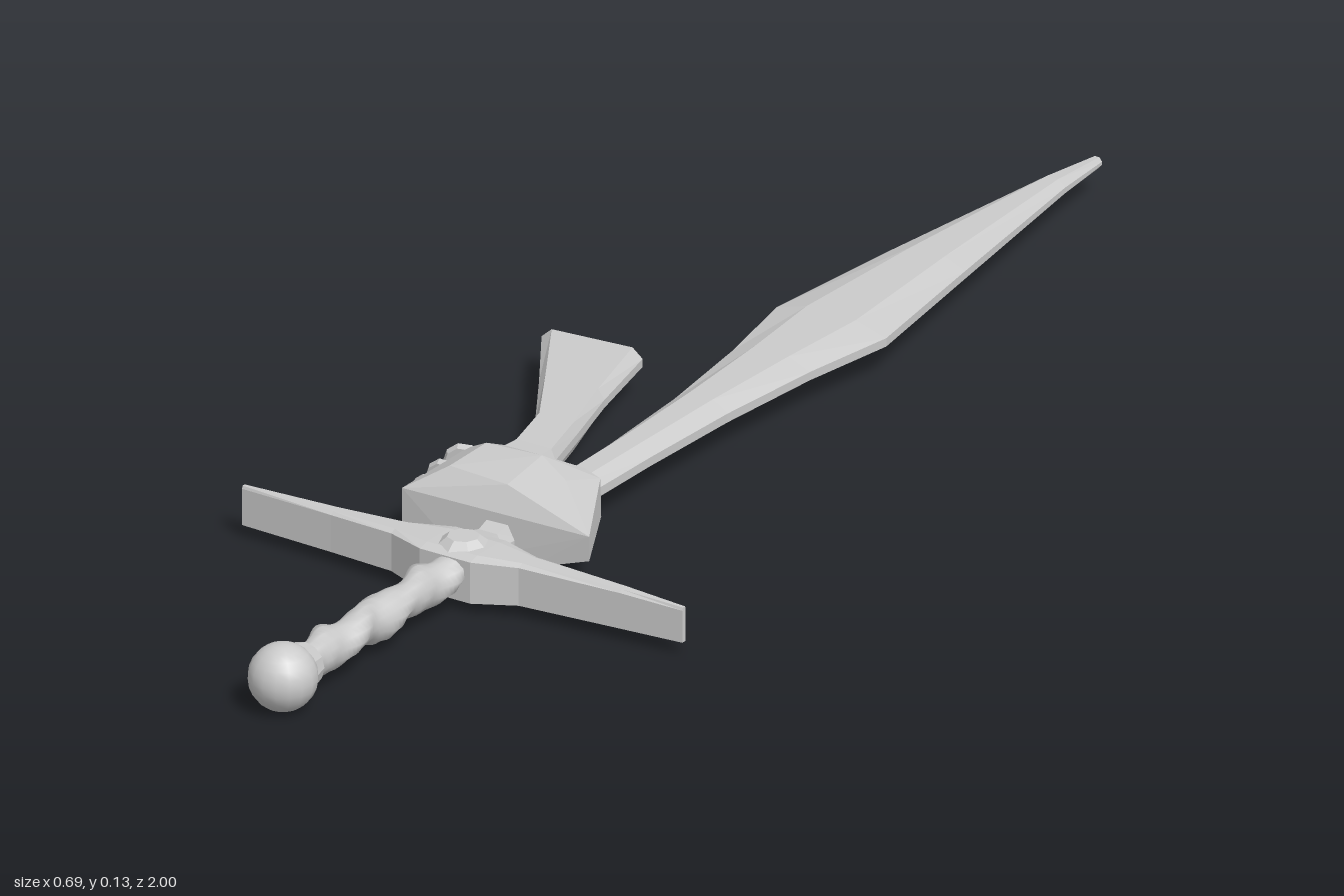
import * as THREE from 'three';
import { ConvexGeometry } from 'three/addons/geometries/ConvexGeometry.js';

const flat = new THREE.MeshStandardMaterial({ color: 0xcccccc, flatShading: true });
const smooth = new THREE.MeshStandardMaterial({ color: 0xcccccc });

// Skin a row of rings (arrays of [x, y, z], counter-clockwise about the travel direction) and cap both ends
function loft(rings) {
  const n = rings[0].length, pos = [], idx = [];
  rings.forEach(r => r.forEach(p => pos.push(...p)));
  for (let i = 0; i < rings.length - 1; i++) {
    for (let j = 0; j < n; j++) {
      const k = (j + 1) % n, a = i * n, b = a + n;
      idx.push(a + j, a + k, b + k, a + j, b + k, b + j);
    }
  }
  const end = (rings.length - 1) * n;
  for (let j = 1; j < n - 1; j++) idx.push(0, j + 1, j, end, end + j, end + j + 1);
  const g = new THREE.BufferGeometry();
  g.setAttribute('position', new THREE.Float32BufferAttribute(pos, 3));
  g.setIndex(idx);
  g.computeVertexNormals();
  return g;
}

// Flattened octagon between x0 and x1, y0 and y1; bevel is the share of the edge cut away
function slab(z0, x0, x1, y0, y1, bevel, z1 = z0) {
  const cx = (x0 + x1) / 2, cy = (y0 + y1) / 2, w = (x1 - x0) / 2, h = (y1 - y0) / 2;
  const a = 1 - bevel, b = 0.3;
  return [[1, -b], [1, b], [a, 1], [-a, 1], [-1, b], [-1, -b], [-a, -1], [a, -1]]
    .map(([u, v]) => [cx + u * w, cy + v * h, z0 + (z1 - z0) * (u + 1) / 2]);
}

export function createModel() {
  const group = new THREE.Group();
  const add = (name, geo, mat = flat) => {
    const m = new THREE.Mesh(geo, mat);
    m.name = name;
    group.add(m);
    return m;
  };

  // Leaf-shaped blade: z, left x, right x, bottom y, top y
  add('blade', loft([
    [-1, -0.044, -0.028, 0.040, 0.055],
    [-0.9, -0.058, -0.018, 0.035, 0.062],
    [-0.6, -0.090, 0.028, 0.032, 0.069],
    [-0.365, -0.110, 0.064, 0.031, 0.071],
    [-0.22, -0.080, 0.042, 0.031, 0.071],
    [-0.05, -0.056, 0.028, 0.030, 0.072],
    [0.12, -0.044, 0.023, 0.030, 0.072],
    [0.32, -0.040, 0.022, 0.030, 0.072]
  ].map(([z, l, r, b, t]) => slab(z, l, r, b, t, 0.55))));

  // Flared streamer beside the blade
  add('streamer', loft([
    [-0.12, -0.315, -0.165, 0.030, 0.068, -0.135],
    [0.0, -0.237, -0.133, 0.030, 0.068, 0.0],
    [0.11, -0.168, -0.100, 0.030, 0.070, 0.11],
    [0.2, -0.143, -0.074, 0.030, 0.072, 0.2],
    [0.32, -0.145, -0.066, 0.025, 0.078, 0.32]
  ].map(([z, l, r, b, t, zr]) => slab(z, l, r, b, t, 0.2, zr))));

  // Slanted faceted block around the root of the blade
  add('collarBlock', new ConvexGeometry([
    [-0.150, 0.014, 0.445], [-0.145, 0.016, 0.300], [-0.050, 0.012, 0.445], [-0.050, 0.016, 0.290],
    [0.030, 0.028, 0.290], [0.050, 0.025, 0.440], [0.060, 0.045, 0.290], [0.060, 0.100, 0.292],
    [0.140, 0.055, 0.435], [0.140, 0.090, 0.435], [-0.150, 0.090, 0.445], [-0.160, 0.050, 0.370],
    [-0.145, 0.095, 0.300], [-0.125, 0.105, 0.430], [-0.095, 0.126, 0.330], [-0.095, 0.125, 0.415],
    [-0.010, 0.128, 0.325], [0.000, 0.124, 0.420], [0.045, 0.115, 0.350], [-0.100, 0.105, 0.285],
    [0.030, 0.105, 0.285]
  ].map(p => new THREE.Vector3(...p))));

  // Small strap loops on the side of the block
  [[0.305, 0.072], [0.35, 0.066], [0.39, 0.058]].forEach(([z, y], i) => {
    const loop = add('strapLoop' + (i + 1), new THREE.TorusGeometry(0.022, 0.009, 6, 10));
    loop.position.set(-0.146, y, z);
    loop.rotation.y = 0.25 - 0.25 * i;
  });

  // Neck joining block and guard
  add('neck', loft([
    [0.43, -0.032, 0.026, 0.020, 0.078], [0.465, -0.024, 0.024, 0.027, 0.073], [0.5, -0.034, 0.034, 0.02, 0.08]
  ].map(([z, l, r, b, t]) => slab(z, l, r, b, t, 0.4))));

  // Crossguard: x, z centre, half depth, bottom y, top y
  add('crossguard', loft([
    [-0.345, 0.527, 0.004, 0.019, 0.075],
    [-0.2, 0.524, 0.012, 0.019, 0.076],
    [-0.1, 0.522, 0.021, 0.020, 0.078],
    [-0.04, 0.523, 0.042, 0.017, 0.080],
    [0.04, 0.523, 0.042, 0.017, 0.080],
    [0.1, 0.519, 0.021, 0.020, 0.078],
    [0.25, 0.515, 0.010, 0.020, 0.075],
    [0.343, 0.512, 0.004, 0.020, 0.070]
  ].map(([x, z, d, b, t]) =>
    [[b, -d], [t - 0.004, -d], [t, -d * 0.6], [t, d * 0.6], [t - 0.004, d], [b, d]].reverse()
      .map(([y, dz]) => [x, y, z + dz]).reverse())));

  // Faceted bosses on top and underside of the guard
  [[0.08, 1], [0.02, -1]].forEach(([y, s]) => {
    const boss = add(s > 0 ? 'topBoss' : 'lowerBoss', new THREE.CylinderGeometry(0.022, 0.044, 0.018, 8));
    boss.position.set(0, y, 0.522);
    if (s < 0) boss.rotation.x = Math.PI;
  });

  // Grip with a spiral wrap swelling its surface
  const rings = [];
  for (let i = 0; i <= 48; i++) {
    const t = i / 48, ring = [];
    for (let j = 0; j < 14; j++) {
      const a = j / 14 * Math.PI * 2;
      const swell = Math.max(0, Math.sin(a * 2 + t * 20));
      const r = 0.024 + 0.007 * swell + 0.002 * Math.sin(t * 31 + a);
      ring.push([0.008 * t + r * Math.cos(a), 0.05 + r * Math.sin(a), 0.55 + 0.37 * t]);
    }
    rings.push(ring);
  }
  add('grip', loft(rings), smooth);

  // Round pommel with a collar
  add('pommel', new THREE.SphereGeometry(0.047, 16, 12), smooth).position.set(0.008, 0.049, 0.952);
  const collar = add('pommelCollar', new THREE.CylinderGeometry(0.036, 0.03, 0.025, 12));
  collar.rotation.x = Math.PI / 2;
  collar.position.set(0.008, 0.049, 0.912);

  return group;
}
